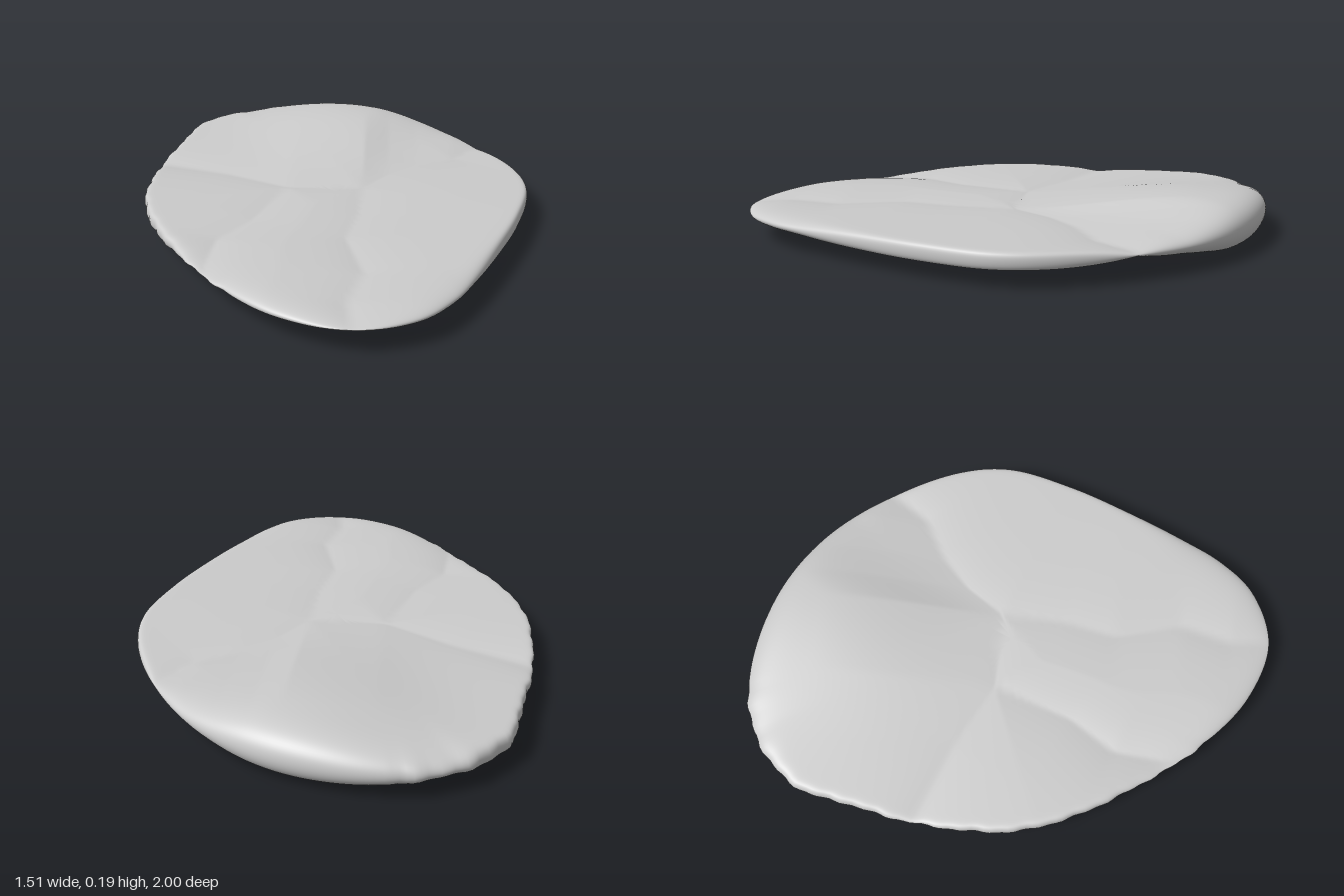
import * as THREE from 'three';
import { mergeVertices } from 'three/addons/utils/BufferGeometryUtils.js';

const { smoothstep, lerp, clamp } = THREE.MathUtils;

// Outline seen from above, as x, z pairs running counterclockwise from the front tip
const OUTLINE = [
  [0.09, 1], [0.3, 0.93], [0.42, 0.8], [0.5, 0.65], [0.6, 0.42], [0.69, 0.18], [0.75, -0.08], [0.72, -0.28],
  [0.58, -0.56], [0.38, -0.79], [0.12, -0.94], [-0.18, -1], [-0.4, -0.97], [-0.55, -0.88], [-0.66, -0.74],
  [-0.7, -0.55], [-0.74, -0.35], [-0.755, -0.12], [-0.74, 0.08], [-0.66, 0.3], [-0.5, 0.56], [-0.36, 0.74], [-0.15, 0.92],
];
// Valleys on both faces, as x, z pairs: one across the stone and two running forward from it
const CROSS = [[-0.76, -0.3], [-0.45, -0.18], [-0.2, -0.05], [0.1, -0.05], [0.2, -0.2], [0.32, -0.31], [0.48, -0.4], [0.59, -0.56]];
const RIGHT = [[0.1, -0.05], [0.09, 0.2], [0.05, 0.4], [0.12, 0.65], [0.07, 0.85], [0.09, 1]];
const LEFT = [[-0.2, -0.05], [-0.3, 0.25], [-0.41, 0.42], [-0.43, 0.67]];

// z of the cross valley at a given x
function crossZ(x) {
  const i = clamp(CROSS.findIndex((p) => p[0] >= x), 1, CROSS.length - 1);
  const [a, p] = CROSS[i - 1], [b, q] = x > CROSS[CROSS.length - 1][0] ? [x, -0.56] : CROSS[i];
  return lerp(p, q, clamp((x - a) / (b - a), 0, 1));
}

// Distance from a point to a broken line
function distanceTo(line, x, z) {
  let best = Infinity;
  for (let i = 1; i < line.length; i++) {
    const [ax, az] = line[i - 1], dx = line[i][0] - ax, dz = line[i][1] - az;
    const s = clamp(((x - ax) * dx + (z - az) * dz) / (dx * dx + dz * dz), 0, 1);
    best = Math.min(best, Math.hypot(x - ax - s * dx, z - az - s * dz));
  }
  return best;
}

// Half thickness: four pillowed panels between the valleys, with a swelling at the back
function halfThickness(x, z, r) {
  const dist = Math.min(...[CROSS, RIGHT, LEFT].map((line) => distanceTo(line, x, z)));
  const valley = lerp(0.019, 0.007, r * r);
  const panel = valley + (0.034 - valley) * (1 - Math.exp(-dist / 0.13));
  const swell = smoothstep(crossZ(x) - z, 0, 0.7);
  return panel + 0.063 * swell * Math.exp(-0.5 * ((x - 0.06) / 0.32) ** 2);
}

function stoneGeometry(around = 240, rings = 100) {
  const curve = new THREE.CatmullRomCurve3(OUTLINE.map(([x, z]) => new THREE.Vector3(x, 0, z)), true);
  const rim = curve.getSpacedPoints(around);
  const pos = [], index = [];
  for (let i = 0; i <= rings; i++) {
    const t = (i / rings) * Math.PI;
    const r = Math.sin(t);
    for (let j = 0; j < around; j++) {
      // slightly chipped rim on the left side
      const chip = rim[j].x < -0.3 ? 0.006 * Math.sin(j * 1.13) * Math.sin(j * 0.4) * r ** 8 : 0;
      const x = rim[j].x * r * (1 + chip), z = rim[j].z * r * (1 + chip);
      // rounded rim at front and back, blunter at the sides
      const power = 16 + 90 * smoothstep(Math.abs(rim[j].x), 0.45, 0.72);
      const h = halfThickness(x, z, r) * Math.sqrt(Math.max(0, 1 - r ** power));
      pos.push(x, 0.096 + (t < Math.PI / 2 ? h : -h), z);
      if (i === rings) continue;
      const k = (j + 1) % around;
      const a = i * around + j, b = i * around + k, c = a + around, e = b + around;
      if (i < rings - 1) index.push(a, c, e);
      if (i > 0) index.push(a, e, b);
    }
  }
  const geometry = new THREE.BufferGeometry();
  geometry.setAttribute('position', new THREE.Float32BufferAttribute(pos, 3));
  geometry.setIndex(index);
  const merged = mergeVertices(geometry, 1e-5);
  merged.computeVertexNormals();
  return merged;
}

export function createModel() {
  const group = new THREE.Group();
  group.name = 'flatStone';
  const stone = new THREE.Mesh(stoneGeometry(), new THREE.MeshStandardMaterial({ color: 0xcccccc }));
  stone.name = 'stone';
  group.add(stone);
  return group;
}
